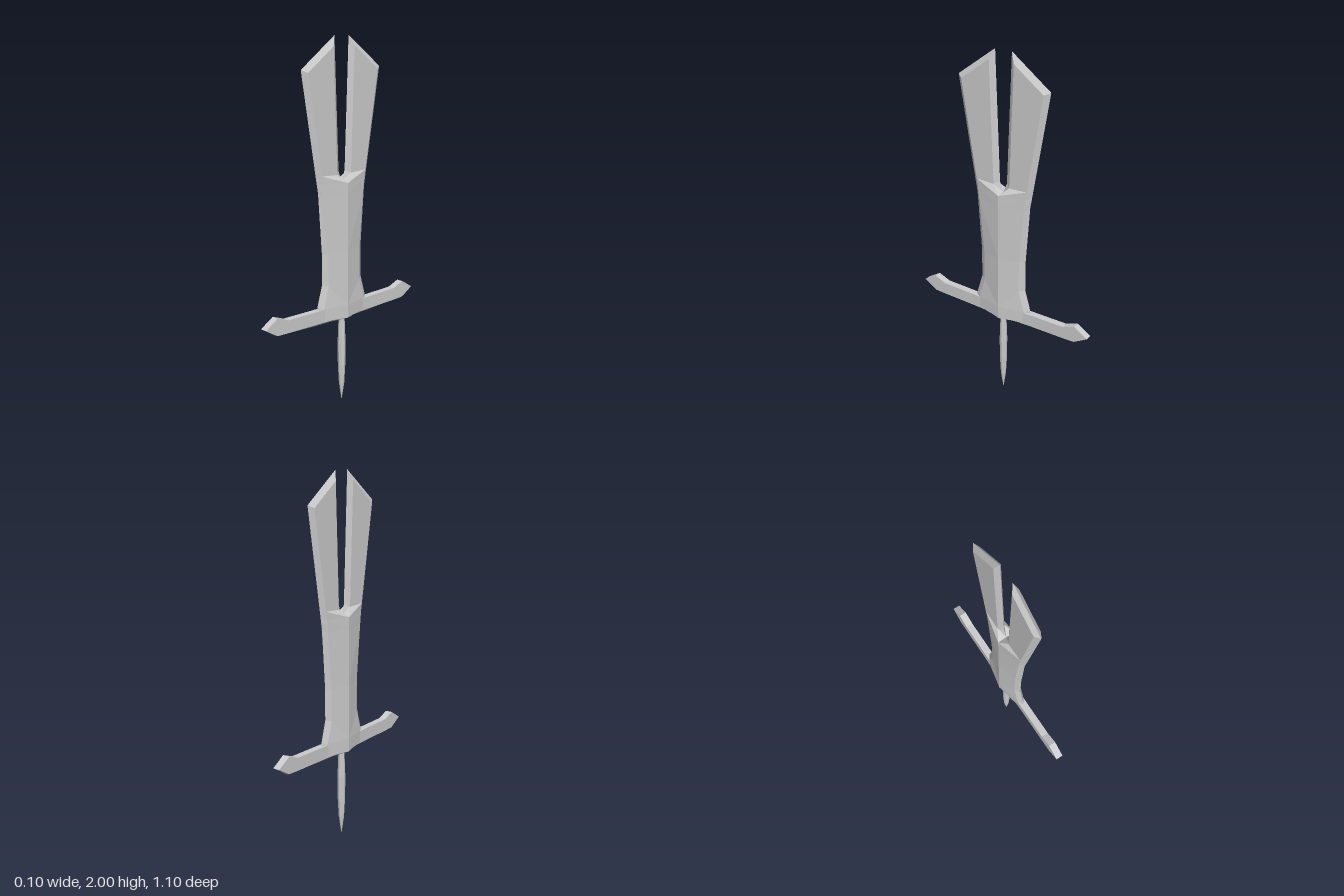
import * as THREE from 'three';

const material = new THREE.MeshStandardMaterial({ color: 0xcccccc, flatShading: true });

// Skins rows of [x, y, z] points for one quarter, then mirrors it across x and z.
function mirroredSkin(name, rows) {
  const positions = [];
  const p = new THREE.Vector3(), q = new THREE.Vector3();
  const addTriangle = (a, b, c, sx, sz) => {
    p.set(b[0] - a[0], b[1] - a[1], b[2] - a[2]);
    q.set(c[0] - a[0], c[1] - a[1], c[2] - a[2]);
    if (p.cross(q).length() < 1e-9) return; // skip collapsed corners
    const corners = sx * sz > 0 ? [a, b, c] : [a, c, b];
    for (const [x, y, z] of corners) positions.push(x * sx, y, z * sz);
  };
  for (const sx of [1, -1]) for (const sz of [1, -1]) {
    for (let i = 0; i < rows.length - 1; i++) {
      for (let j = 0; j < rows[i].length - 1; j++) {
        const a = rows[i][j], b = rows[i + 1][j];
        const c = rows[i + 1][j + 1], d = rows[i][j + 1];
        addTriangle(a, b, c, sx, sz);
        addTriangle(a, c, d, sx, sz);
      }
    }
  }
  const geometry = new THREE.BufferGeometry();
  geometry.setAttribute('position', new THREE.Float32BufferAttribute(positions, 3));
  geometry.computeVertexNormals();
  const mesh = new THREE.Mesh(geometry, material);
  mesh.name = name;
  return mesh;
}

// Blade: each row runs inner edge, inner ridge, outer ridge, cutting edge
function createBlade() {
  const solid = (y, ridgeZ, edgeZ, edgeY = y) =>
    [[0.05, y, 0], [0.05, y, 0], [0.02, y, ridgeZ], [0, edgeY, edgeZ]];
  return mirroredSkin('forkedBlade', [
    solid(0.50, 0.15, 0.18),
    solid(0.57, 0.15, 0.18, 0.58),
    solid(0.69, 0.115, 0.145, 0.70),
    solid(0.87, 0.115, 0.145),
    solid(1.18, 0.145, 0.17, 1.20),
    // bottom of the notch, where the blade splits
    [[0, 1.245, 0], [0.05, 1.24, 0], [0.02, 1.245, 0.152], [0, 1.25, 0.179]],
    [[0, 1.30, 0.022], [0.02, 1.285, 0.05], [0.02, 1.29, 0.16], [0, 1.29, 0.186]],
    // bevelled slanting tip
    [[0, 1.95, 0.048], [0.02, 1.945, 0.075], [0.02, 1.82, 0.25], [0, 1.825, 0.279]],
    [[0, 2.0, 0.05], [0, 2.0, 0.05], [0, 1.835, 0.28], [0, 1.835, 0.28]],
  ]);
}

// Crossguard: each section runs top centre, top corner, lower corner, keel
function createGuard() {
  const section = ([z, halfWidth, top, low, keel]) =>
    [[0, top, z], [halfWidth, top, z], [halfWidth, low, z], [0, keel, z]];
  return mirroredSkin('crossguard', [
    [0, 0.05, 0.565, 0.495, 0.48],
    [0.09, 0.022, 0.565, 0.495, 0.48],
    [0.20, 0.02, 0.567, 0.497, 0.482],
    [0.40, 0.02, 0.57, 0.50, 0.492],
    [0.472, 0.02, 0.597, 0.503, 0.498],
    [0.55, 0.02, 0.549, 0.549, 0.549],
  ].map(section));
}

// Grip: faceted spindle ending in a point
function createGrip() {
  const profile = [[0, 0], [0.007, 0.045], [0.015, 0.10], [0.021, 0.21],
    [0.022, 0.34], [0.019, 0.43], [0.016, 0.50], [0, 0.50]];
  const points = profile.map(([r, y]) => new THREE.Vector2(r, y));
  const grip = new THREE.Mesh(new THREE.LatheGeometry(points, 8), material);
  grip.name = 'grip';
  return grip;
}

export function createModel() {
  const model = new THREE.Group();
  model.name = 'forkedSword';
  model.add(createBlade(), createGuard(), createGrip());
  return model;
}
